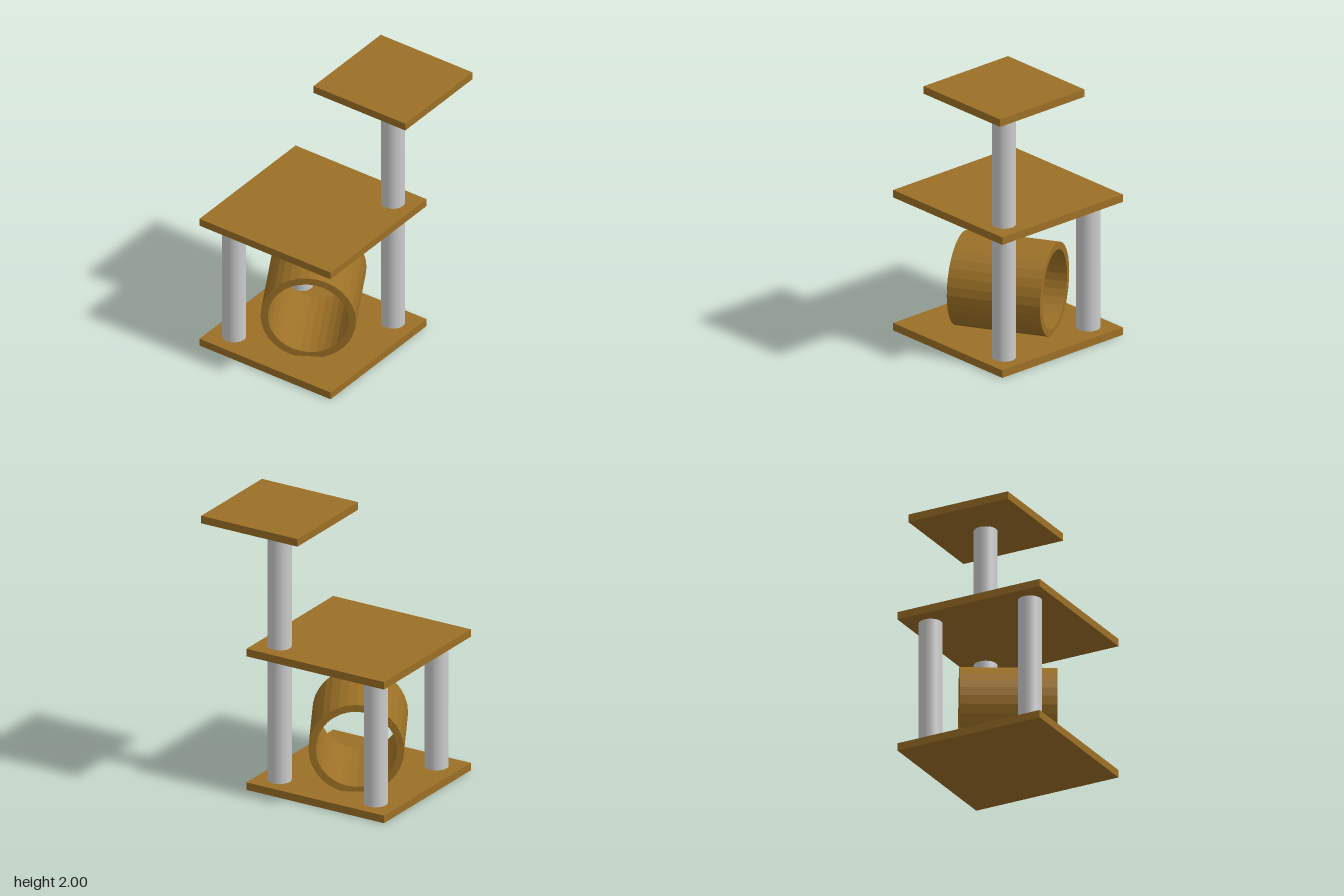
import * as THREE from 'three';

export function createModel() {
  const group = new THREE.Group();
  const wood = new THREE.MeshStandardMaterial({ color: 0x9c7026 });
  const tubeMaterial = new THREE.MeshStandardMaterial({ color: 0x9c7026, flatShading: true });
  const grey = new THREE.MeshStandardMaterial({ color: 0xcccccc });

  const add = (name, geometry, material, x, y, z) => {
    const mesh = new THREE.Mesh(geometry, material);
    mesh.name = name;
    mesh.position.set(x, y, z);
    group.add(mesh);
    return mesh;
  };

  // Square boards: base, middle shelf, and the small top perch
  const thickness = 0.054;
  const board = (name, size, centre, top) =>
    add(name, new THREE.BoxGeometry(size, thickness, size), wood, centre, top - thickness / 2, centre);
  board('base', 1.08, -0.11, thickness);
  board('middleShelf', 1.08, -0.11, 1.015);
  board('topPerch', 0.756, 0.27, 2);

  // Round posts, ends sunk into the boards
  const post = (name, x, z, bottom, top) =>
    add(name, new THREE.CylinderGeometry(0.08, 0.08, top - bottom, 32), grey, x, (top + bottom) / 2, z);
  post('tallFrontPost', 0.27, 0.27, 0.01, 1.97);
  post('backLeftPost', 0.27, -0.485, 0.01, 0.98);
  post('backRightPost', -0.485, -0.485, 0.01, 0.98);

  // Hollow tunnel lying diagonally on the base
  const outer = 0.319, inner = 0.27, half = 0.325;
  const profile = [[outer, -half], [outer, half], [inner, half], [inner, -half], [outer, -half]]
    .map(([r, y]) => new THREE.Vector2(r, y));
  const tunnel = add('tunnel', new THREE.LatheGeometry(profile, 32), tubeMaterial, -0.108, 0.357, -0.108);
  tunnel.rotation.set(0, Math.PI / 6, Math.PI / 2);

  return group;
}
